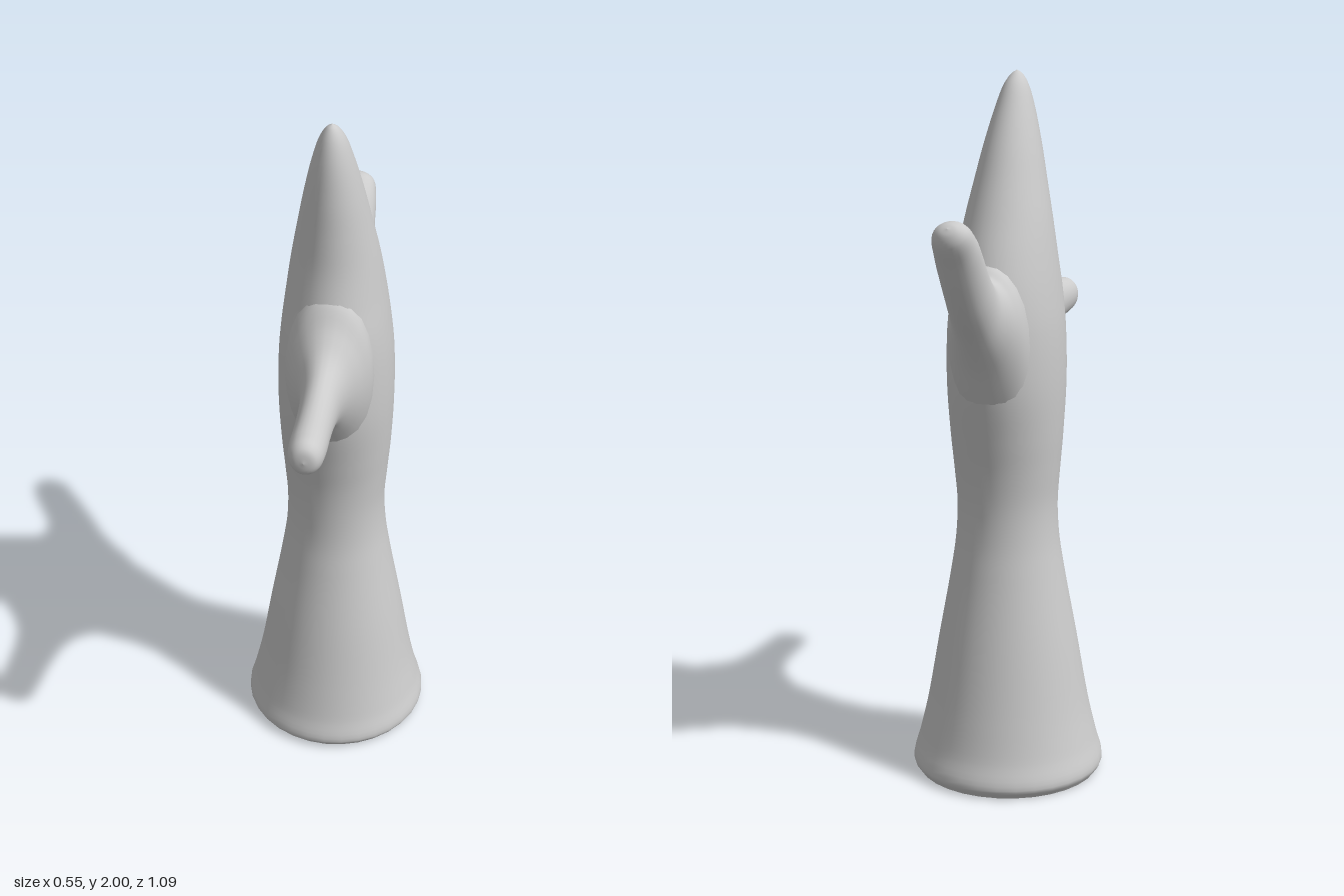
import * as THREE from 'three';

// Smooth loft. Each section is [y, z, y, z, halfWidth]: two opposite outline
// points in the x = 0 plane and the half width across x.
function loft(sections, steps, sides) {
  const edge = (k) => new THREE.CatmullRomCurve3(
    sections.map((s) => new THREE.Vector3(s[4], s[k], s[k + 1])));
  const edgeA = edge(0), edgeB = edge(2);
  const pos = [], index = [];
  for (let i = 0; i <= steps; i++) {
    const a = edgeA.getPoint(i / steps), b = edgeB.getPoint(i / steps);
    const mid = a.clone().add(b).multiplyScalar(0.5);
    for (let j = 0; j < sides; j++) {
      const t = (j / sides) * Math.PI * 2, s = Math.sin(t);
      pos.push(Math.max(0, mid.x) * Math.cos(t), mid.y + (a.y - mid.y) * s, mid.z + (a.z - mid.z) * s);
      if (i < steps) {
        const p = i * sides + j, q = i * sides + (j + 1) % sides;
        index.push(p, p + sides, q, q, p + sides, q + sides);
      }
    }
  }
  const geo = new THREE.BufferGeometry();
  geo.setAttribute('position', new THREE.Float32BufferAttribute(pos, 3));
  geo.setIndex(index);
  geo.computeVertexNormals();
  return geo;
}

export function createModel() {
  const group = new THREE.Group();
  const material = new THREE.MeshStandardMaterial({ color: 0xcccccc, roughness: 0.8 });
  const add = (name, geometry) => {
    const mesh = new THREE.Mesh(geometry, material);
    mesh.name = name;
    group.add(mesh);
    return mesh;
  };

  // Trunk: flared foot, narrow waist, swelling middle, pointed top.
  // Rows are [y, front z, back z, half width].
  const trunk = [
    [0.003, 0.2, -0.315, 0.262], [0.03, 0.218, -0.33, 0.277], [0.1, 0.2, -0.31, 0.26],
    [0.2, 0.18, -0.29, 0.236], [0.4, 0.145, -0.255, 0.2], [0.6, 0.108, -0.22, 0.163],
    [0.7, 0.093, -0.206, 0.148], [0.8, 0.09, -0.203, 0.143], [0.9, 0.096, -0.213, 0.15],
    [1.0, 0.112, -0.232, 0.158], [1.15, 0.14, -0.263, 0.164], [1.3, 0.148, -0.272, 0.16],
    [1.4, 0.143, -0.26, 0.15], [1.5, 0.12, -0.23, 0.136], [1.6, 0.101, -0.19, 0.12],
    [1.7, 0.093, -0.148, 0.1], [1.8, 0.088, -0.105, 0.079], [1.9, 0.078, -0.055, 0.054],
    [1.96, 0.063, -0.02, 0.034], [1.99, 0.046, 0.01, 0.015], [2.0, 0.03, 0.03, 0],
  ];
  add('trunk', loft(trunk.map(([y, f, b, w]) => [y, f, y, b, w]), 100, 32));

  // Flat underside
  const underside = add('underside', new THREE.CircleGeometry(1, 32));
  underside.rotation.x = Math.PI / 2;
  underside.scale.set(0.262, 0.258, 1);
  underside.position.set(0, 0.003, -0.0575);

  // Front branch, level, flaring into the trunk. Rows are [z, bottom y, top y, half width].
  const front = [
    [0.04, 1.0, 1.57, 0.12], [0.1, 1.06, 1.545, 0.12], [0.15, 1.13, 1.475, 0.098],
    [0.2, 1.19, 1.425, 0.07], [0.25, 1.22, 1.4, 0.056], [0.32, 1.243, 1.385, 0.05],
    [0.4, 1.258, 1.38, 0.048], [0.48, 1.268, 1.379, 0.048], [0.52, 1.275, 1.375, 0.043],
    [0.54, 1.29, 1.36, 0.03], [0.548, 1.325, 1.325, 0],
  ];
  add('frontBranch', loft(front.map(([z, lo, hi, w]) => [lo, z, hi, z, w]), 50, 24));

  // Back branch, rising away from the trunk
  add('backBranch', loft([
    [1.5, -0.19, 1.0, -0.19, 0.115], [1.48, -0.245, 1.1, -0.25, 0.11],
    [1.46, -0.275, 1.2, -0.3, 0.092], [1.465, -0.305, 1.28, -0.355, 0.07],
    [1.505, -0.35, 1.36, -0.42, 0.062], [1.56, -0.4, 1.44, -0.475, 0.06],
    [1.6, -0.445, 1.5, -0.51, 0.058], [1.622, -0.49, 1.555, -0.542, 0.048],
    [1.618, -0.52, 1.585, -0.545, 0.026], [1.606, -0.537, 1.606, -0.537, 0],
  ], 50, 24));

  return group;
}
